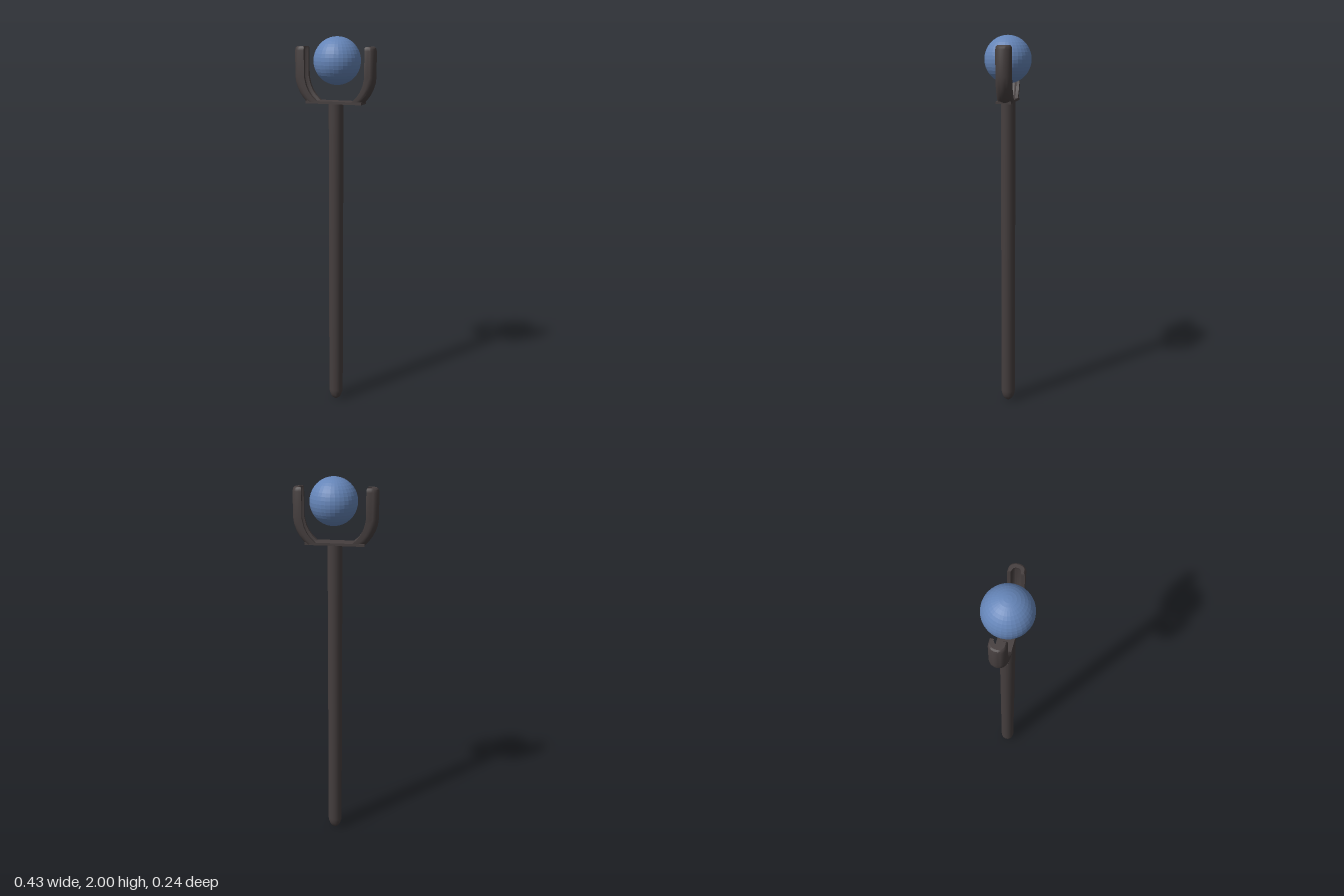
import * as THREE from 'three';
import { toCreasedNormals } from 'three/addons/utils/BufferGeometryUtils.js';

const darkMetal = new THREE.MeshStandardMaterial({ color: 0x463f3f });
darkMetal.name = 'dark metal';
const blueOrb = new THREE.MeshStandardMaterial({ color: 0x6585b8, flatShading: true });
blueOrb.name = 'orb blue';

// D-shaped section with a groove: u runs from inner lip (0) to outer face (1), z is -1..1
function prongSection() {
  const points = [new THREE.Vector2(0, -1)];
  for (let i = 0; i <= 12; i++) {
    const a = -Math.PI / 2 + (Math.PI * i) / 12;
    points.push(new THREE.Vector2(0.4 + 0.6 * Math.cos(a), Math.sin(a)));
  }
  points.push(new THREE.Vector2(0, 1));
  for (let i = 0; i <= 8; i++) {
    const a = Math.PI / 2 - (Math.PI * i) / 8;
    points.push(new THREE.Vector2(0.5 * Math.cos(a), 0.62 * Math.sin(a)));
  }
  return points;
}

// Sweeps the section through stations of [outerX, outerY, innerX, innerY, zScale]
function prongGeometry(stations) {
  const section = prongSection();
  const n = section.length;
  const positions = [];
  const index = [];
  for (const [ox, oy, ix, iy, s] of stations) {
    for (const p of section) {
      positions.push(ix + (ox - ix) * p.x, iy + (oy - iy) * p.x, 0.04 * s * p.y);
    }
  }
  for (let k = 0; k < stations.length - 1; k++) {
    for (let i = 0; i < n; i++) {
      const j = (i + 1) % n;
      const a = k * n + i, b = k * n + j, c = a + n, d = b + n;
      index.push(a, b, d, a, d, c);
    }
  }
  const end = (stations.length - 1) * n;
  for (const [a, b, c] of THREE.ShapeUtils.triangulateShape(section, [])) {
    index.push(a, c, b, end + a, end + b, end + c);
  }
  const geometry = new THREE.BufferGeometry();
  geometry.setAttribute('position', new THREE.Float32BufferAttribute(positions, 3));
  geometry.setIndex(index);
  return toCreasedNormals(geometry, 0.6);
}

// Prong from tip down to the crossbar; reach is the outer x, depth its thickness
function prongStations(reach, depth) {
  const r = reach;
  const d = depth;
  return [
    [r - 0.012, 1.95, r - d + 0.004, 1.95, 0.8],
    [r - 0.004, 1.944, r - d, 1.944, 0.93],
    [r, 1.93, r - d, 1.93, 1],
    [r, 1.8, r - d, 1.8, 1],
    [r - 0.004, 1.77, r - d - 0.003, 1.785, 1],
    [r - 0.014, 1.74, r - d - 0.01, 1.757, 1],
    [r - 0.029, 1.711, r - d - 0.023, 1.728, 1],
    [r - 0.047, 1.687, r - d - 0.041, 1.703, 1],
    [r - 0.067, 1.667, r - d - 0.066, 1.679, 1],
  ];
}

export function createModel() {
  const model = new THREE.Group();
  model.name = 'staff';
  const add = (name, geometry, material, x, y, z) => {
    const mesh = new THREE.Mesh(geometry, material);
    mesh.name = name;
    mesh.position.set(x, y, z);
    model.add(mesh);
    return mesh;
  };

  // Long shaft with a rounded foot
  const profile = [
    [0, 0], [0.012, 0.002], [0.022, 0.01], [0.03, 0.024], [0.036, 0.042], [0.038, 0.06],
    [0.038, 1.67], [0, 1.67],
  ].map(([x, y]) => new THREE.Vector2(x, y));
  add('shaft', toCreasedNormals(new THREE.LatheGeometry(profile, 20), 0.6), darkMetal, 0.002, 0, 0);

  // Thin crossbar under the fork
  add('crossbar', new THREE.BoxGeometry(0.3, 0.013, 0.078), darkMetal, 0, 1.6725, 0.002);

  // Grooved prongs; the second is turned half round to face the first
  add('leftProng', prongGeometry(prongStations(0.212, 0.05)), darkMetal, 0, 0, -0.005);
  const right = add('rightProng', prongGeometry(prongStations(0.216, 0.06)), darkMetal, 0, 0, 0.004);
  right.rotation.y = Math.PI;

  // Floating orb
  add('orb', new THREE.SphereGeometry(0.12, 32, 20), blueOrb, 0.008, 1.88, 0);

  return model;
}
